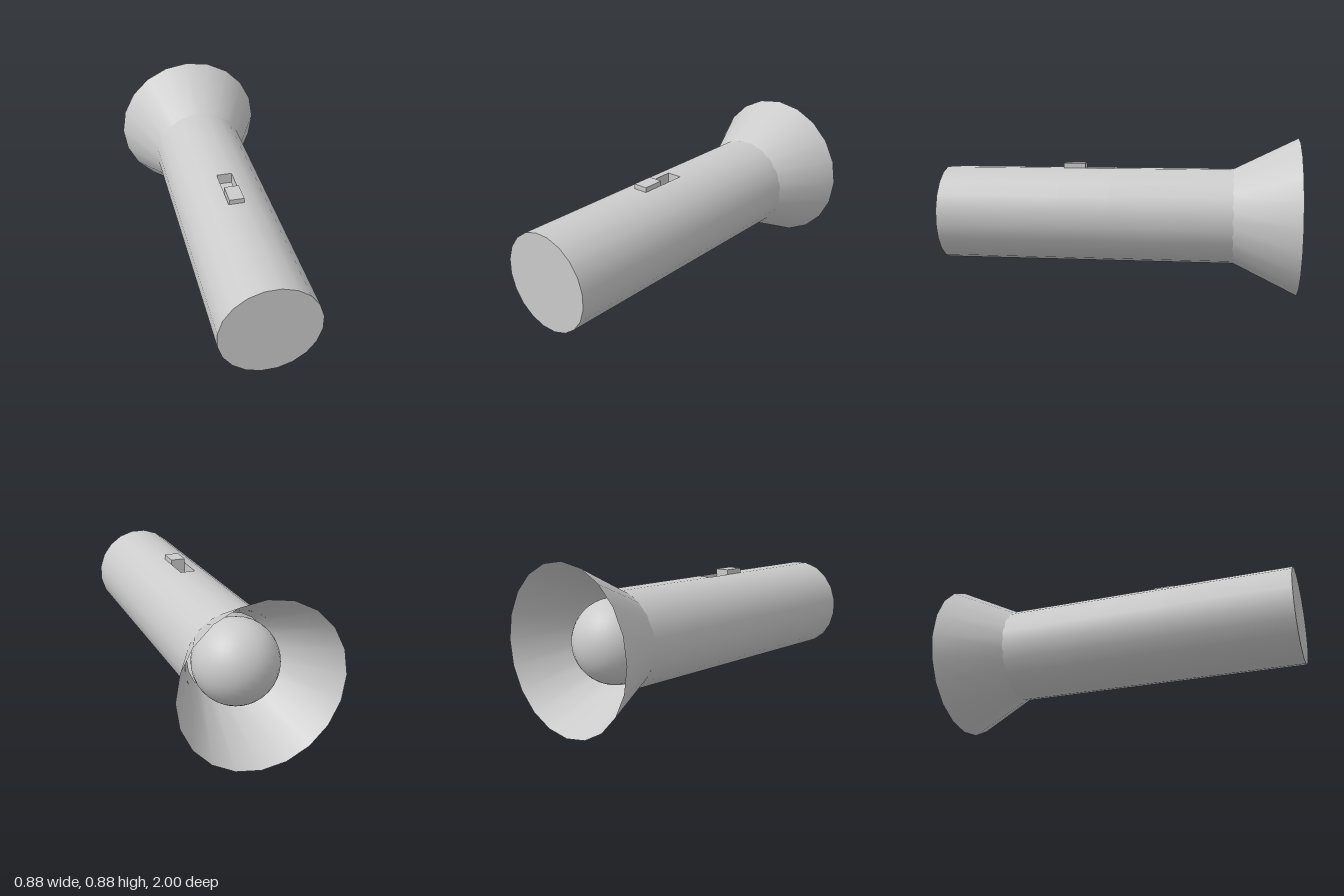
import * as THREE from 'three';

const SIDES = 20;
const STEP = (Math.PI * 2) / SIDES;
const AXIS_Y = 0.44;
const BODY_R = 0.268;
const FLAT_Y = AXIS_Y + BODY_R * Math.cos(STEP / 2); // height of the flat strip on top
const FLAT_W = 2 * BODY_R * Math.sin(STEP / 2);
const SLOT = { back: 0.03, front: 0.31, depth: 0.06 };

export function createModel() {
  const model = new THREE.Group();
  const material = new THREE.MeshStandardMaterial({ color: 0xcccccc, side: THREE.DoubleSide });

  const add = (name, geometry, x, y, z, parent = model) => {
    const mesh = new THREE.Mesh(geometry, material);
    mesh.name = name;
    mesh.position.set(x, y, z);
    parent.add(mesh);
    return mesh;
  };

  // Open tube along z; one or more sides can be left out, starting at the top
  const tube = (name, rBack, rFront, zBack, zFront, start, skipped, parent) => {
    const n = SIDES - skipped;
    const g = new THREE.CylinderGeometry(rFront, rBack, zFront - zBack, n, 1, true, start, n * STEP);
    g.rotateX(Math.PI / 2);
    return add(name, g, 0, AXIS_Y, (zBack + zFront) / 2, parent);
  };

  // Handle: the middle section leaves out its top side for the switch slot
  const handle = new THREE.Group();
  handle.name = 'handle';
  model.add(handle);
  const start = Math.PI + STEP / 2;
  tube('handleBack', BODY_R, BODY_R, -0.65, SLOT.back, start, 0, handle);
  tube('handleMiddle', BODY_R, BODY_R, SLOT.back, SLOT.front, start, 1, handle);
  tube('handleFront', BODY_R, BODY_R, SLOT.front, 1, start, 0, handle);
  add('endCap', new THREE.CircleGeometry(BODY_R, SIDES, STEP / 2), 0, AXIS_Y, 1, handle);

  // Switch slot: a box without its top face
  const slotMid = (SLOT.back + SLOT.front) / 2;
  const slot = new THREE.BoxGeometry(FLAT_W, SLOT.depth, SLOT.front - SLOT.back);
  slot.setIndex([...slot.index.array].filter((_, i) => i < 12 || i >= 18));
  add('switchSlot', slot, 0, FLAT_Y - SLOT.depth / 2, slotMid);

  // Sliding switch at the front end of the slot
  const top = 0.732, bottom = FLAT_Y - SLOT.depth + 0.002;
  add('switchSlider', new THREE.BoxGeometry(0.081, top - bottom, 0.122), 0.002, (top + bottom) / 2, 0.25);

  // Flared reflector, reaching a little way into the handle around the bulb
  tube('reflector', 0.44, 0.224, -1, -0.56, 0, 0);

  // Bulb
  add('bulb', new THREE.SphereGeometry(0.227, 32, 20), 0, AXIS_Y, -0.662);

  return model;
}
